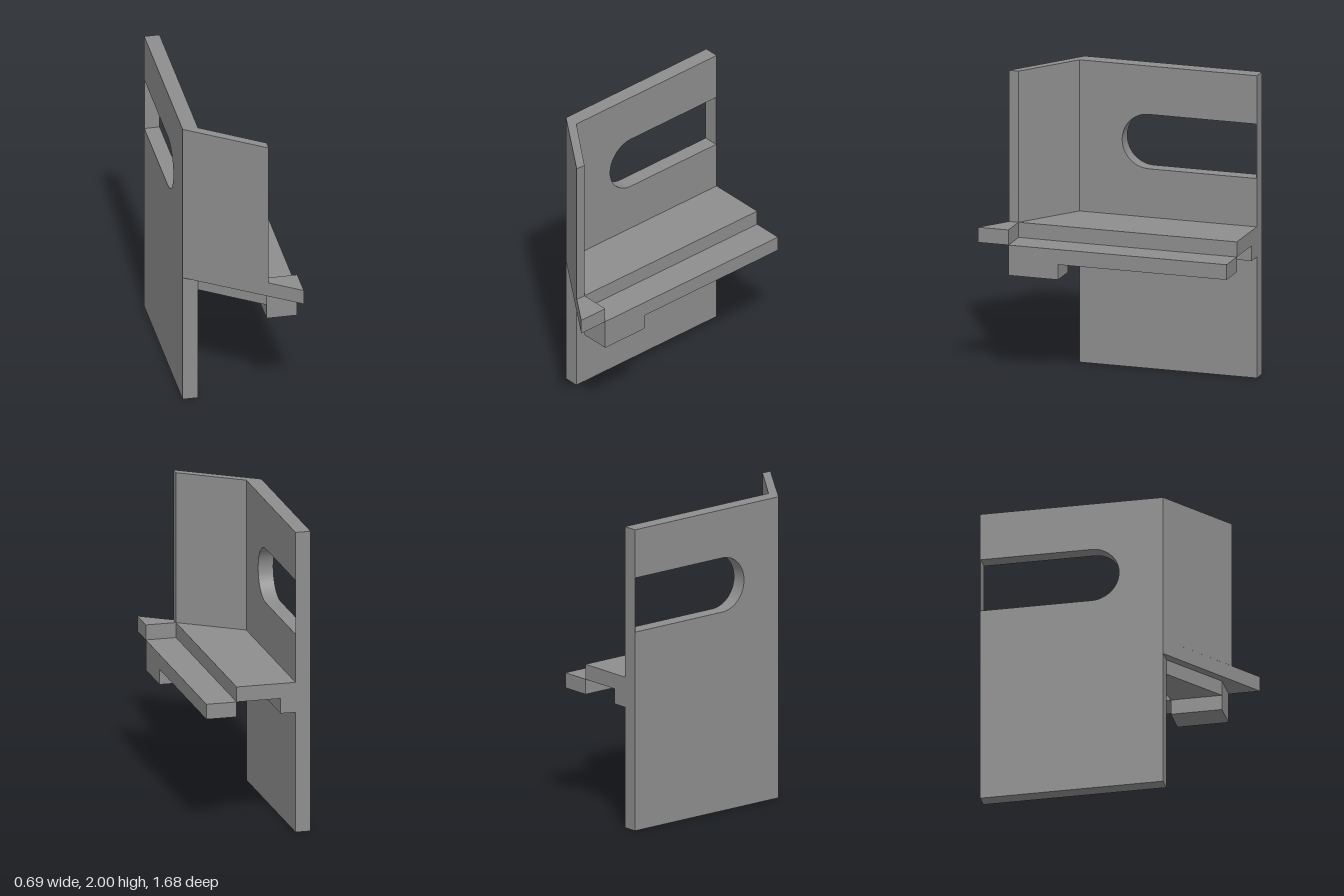
import * as THREE from 'three';
import { toCreasedNormals } from 'three/addons/utils/BufferGeometryUtils.js';

export function createModel() {
  const model = new THREE.Group();
  model.name = 'slottedBracket';
  const grey = new THREE.MeshStandardMaterial({ color: 0x8e8e8e });
  grey.name = 'grey';

  const add = (name, geometry) => {
    const mesh = new THREE.Mesh(toCreasedNormals(geometry, 0.5), grey);
    mesh.name = name;
    model.add(mesh);
  };
  // Plan outlines are drawn as (x, -z)
  const outline = (points) => new THREE.Shape(points.map(([x, z]) => new THREE.Vector2(x, -z)));
  const slab = (name, shape, y0, y1) => {
    const g = new THREE.ExtrudeGeometry(shape, { depth: y1 - y0, bevelEnabled: false, curveSegments: 24 });
    g.rotateX(-Math.PI / 2);
    g.translate(0, y0, 0);
    add(name, g);
  };

  const outer = 0.345, inner = -0.245, step = 0.145;
  const back = -0.84, wallFront = 0.358, barFront = 0.635;

  // Tall side wall with a round-ended slot, closed at the back by a thin skin
  const wall = new THREE.Shape();
  wall.moveTo(-wallFront, 0);
  wall.lineTo(-back, 0);
  wall.lineTo(-back, 2);
  wall.lineTo(-wallFront, 2);
  wall.closePath();
  const slot = new THREE.Path();
  slot.moveTo(0.835, 1.32);
  slot.lineTo(0.835, 1.68);
  slot.lineTo(0.11, 1.68);
  slot.absarc(0.11, 1.5, 0.18, Math.PI / 2, Math.PI * 1.5, false);
  slot.closePath();
  wall.holes.push(slot);
  const wallGeo = new THREE.ExtrudeGeometry(wall, { depth: inner + outer, bevelEnabled: false, curveSegments: 32 });
  wallGeo.rotateY(Math.PI / 2);
  wallGeo.translate(-outer, 0, 0);
  add('sideWall', wallGeo);

  // Slanted front flange
  slab('frontFlange', outline([
    [-outer, wallFront], [step, 0.701], [step, barFront], [inner, wallFront],
  ]), 1, 2);

  // Shelf with its slanted front lip
  slab('shelf', outline([
    [inner, back], [inner, wallFront], [-outer, wallFront], [outer, 0.84],
    [outer, barFront], [step, barFront], [step, back],
  ]), 0.9, 1);

  // Layer under the shelf: rib, rounded recess end and outer rail in one outline
  const under = new THREE.Shape();
  under.moveTo(inner, -back);
  under.lineTo(inner, -wallFront);
  under.lineTo(step, -barFront);
  under.lineTo(outer, -barFront);
  under.lineTo(outer, -back);
  under.lineTo(step, -back);
  under.lineTo(step, -0.3);
  under.absarc(step, -0.01, 0.29, Math.PI * 1.5, Math.PI, true);
  under.lineTo(step - 0.29, -back);
  under.closePath();
  slab('ribAndRail', under, 0.8, 0.9);

  // Block below the front of the rail
  slab('railBlock', outline([
    [step, 0.3], [step, barFront], [outer, barFront], [outer, 0.3],
  ]), 0.7, 0.8);

  return model;
}
